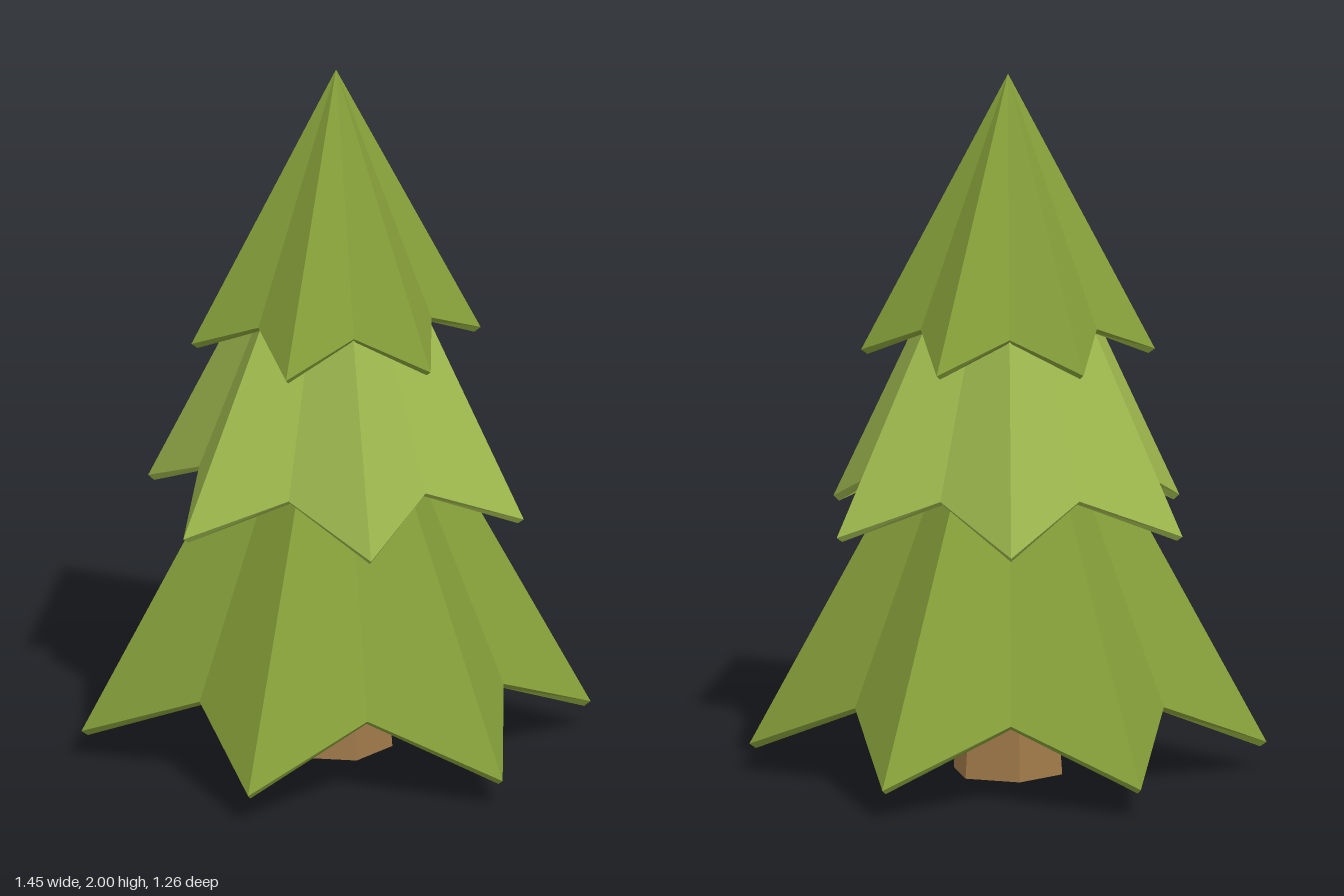
import * as THREE from 'three';

const POINTS = 6;

// Hollow star-shaped cone: folded outer skin, thin rim and inner skin.
// tip / valley are [radius, y] of the outer lower edge.
function starCone(apexY, tip, valley, turn) {
  const outer = [], inner = [];
  for (let i = 0; i < POINTS * 2; i++) {
    const a = turn + (i * Math.PI) / POINTS;
    const isTip = i % 2 === 0;
    const [r, y] = isTip ? tip : valley;
    const inset = isTip ? 0.018 : 0.013;
    const drop = isTip ? 0.013 : 0.011;
    outer.push([r * Math.cos(a), y, r * Math.sin(a)]);
    inner.push([(r - inset) * Math.cos(a), y - drop, (r - inset) * Math.sin(a)]);
  }
  const top = [0, apexY, 0];
  const innerTop = [0, apexY - 0.05, 0];
  const positions = [];
  const tri = (a, b, c) => positions.push(...a, ...b, ...c);
  outer.forEach((o0, i) => {
    const j = (i + 1) % outer.length;
    const o1 = outer[j], q0 = inner[i], q1 = inner[j];
    tri(top, o1, o0);
    tri(o0, o1, q1);
    tri(o0, q1, q0);
    tri(innerTop, q0, q1);
  });
  const geometry = new THREE.BufferGeometry();
  geometry.setAttribute('position', new THREE.Float32BufferAttribute(positions, 3));
  geometry.computeVertexNormals();
  return geometry;
}

export function createModel() {
  const tree = new THREE.Group();
  tree.name = 'pineTree';

  const material = (color) => new THREE.MeshStandardMaterial({ color, flatShading: true });
  const darkGreen = material(0x87a03a);
  const lightGreen = material(0x9fb94e);
  const bark = material(0xa07a4a);

  const add = (name, geometry, mat) => {
    const mesh = new THREE.Mesh(geometry, mat);
    mesh.name = name;
    tree.add(mesh);
  };

  // Tapered six-sided trunk, running up inside the lowest branches
  const trunk = new THREE.CylinderGeometry(0.12, 0.16, 0.55, 6);
  trunk.rotateY(THREE.MathUtils.degToRad(11));
  trunk.translate(0, 0.275, 0);
  add('trunk', trunk, bark);

  // Three tiers of branches; the middle one is turned by half a point
  add('lowerBranches', starCone(1.43, [0.725, 0.08], [0.5, 0.235], 0), darkGreen);
  add('middleBranches', starCone(1.84, [0.56, 0.73], [0.39, 0.845], Math.PI / POINTS), lightGreen);
  add('upperBranches', starCone(2, [0.412, 1.21], [0.285, 1.297], 0), darkGreen);

  return tree;
}
